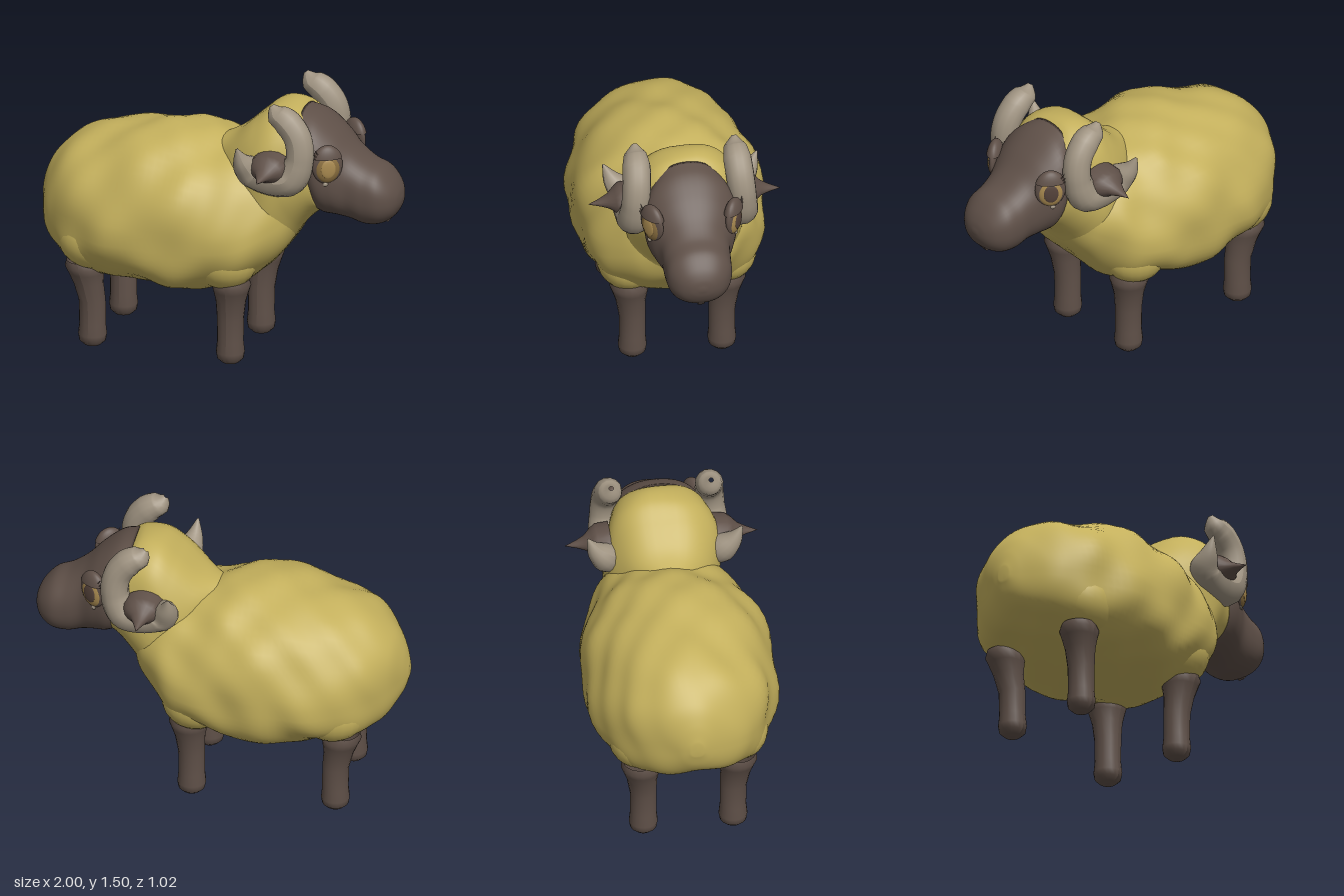
import * as THREE from 'three';

const mat = (name, color, side = THREE.FrontSide) => {
  const m = new THREE.MeshStandardMaterial({ color, side });
  m.name = name;
  return m;
};

// Closed skin through sections [topX, topY, bottomX, bottomY, halfWidth].
// mid = height of the widest point, square / crown = squareness of the lower / upper half.
function loft(sections, { steps = 48, sides = 48, mid = 0.5, square = 2, crown = 2, bump = 0 }) {
  const top = new THREE.CatmullRomCurve3(sections.map(s => new THREE.Vector3(s[0], s[1], s[4])));
  const bottom = new THREE.CatmullRomCurve3(sections.map(s => new THREE.Vector3(s[2], s[3], 0)));
  const pos = [], idx = [];
  for (let i = 0; i <= steps; i++) {
    const t = top.getPoint(i / steps), b = bottom.getPoint(i / steps);
    for (let j = 0; j < sides; j++) {
      const a = (j / sides) * Math.PI * 2, s = Math.sin(a), c = Math.cos(a);
      const e = 2 / (s < 0 ? square : crown);
      const v = mid + (s < 0 ? -mid : 1 - mid) * Math.pow(Math.abs(s), e);
      const x = b.x + (t.x - b.x) * v, y = b.y + (t.y - b.y) * v;
      const z = Math.sign(c) * Math.pow(Math.abs(c), e) * t.z;
      // soft woolly lumps
      const n = bump * (Math.sin(10 * x + 6 * z) * Math.sin(13 * y + 2) +
        0.6 * Math.sin(21 * x - 9 * y) * Math.cos(19 * z + 5 * y));
      pos.push(x, y + n * s, z + n * c);
    }
  }
  const vert = (i, j) => i * sides + (j % sides);
  for (let i = 0; i < steps; i++) for (let j = 0; j < sides; j++) {
    const a = vert(i, j), b = vert(i + 1, j), c = vert(i, j + 1), d = vert(i + 1, j + 1);
    idx.push(a, b, c, b, d, c);
  }
  // end caps
  for (const end of [0, steps]) {
    const s = sections[end ? sections.length - 1 : 0], k = pos.length / 3;
    pos.push((s[0] + s[2]) / 2, (s[1] + s[3]) / 2, 0);
    for (let j = 0; j < sides; j++) {
      const a = vert(end, j), b = vert(end, j + 1);
      if (end) idx.push(k, b, a); else idx.push(k, a, b);
    }
  }
  const g = new THREE.BufferGeometry();
  g.setAttribute('position', new THREE.Float32BufferAttribute(pos, 3));
  g.setIndex(idx);
  g.computeVertexNormals();
  return g;
}

// Tube through points [x, y, z, radius]
function taperedTube(points, segments = 48, sides = 14) {
  const curve = new THREE.CatmullRomCurve3(points.map(p => new THREE.Vector3(p[0], p[1], p[2])));
  const g = new THREE.TubeGeometry(curve, segments, 1, sides);
  const p = g.attributes.position, v = new THREE.Vector3();
  for (let i = 0; i <= segments; i++) {
    const c = curve.getPointAt(i / segments);
    const f = curve.getUtoTmapping(i / segments) * (points.length - 1);
    const k = Math.min(Math.floor(f), points.length - 2);
    const r = THREE.MathUtils.lerp(points[k][3], points[k + 1][3], f - k);
    for (let j = 0; j <= sides; j++) {
      const n = i * (sides + 1) + j;
      v.fromBufferAttribute(p, n).sub(c).multiplyScalar(r).add(c);
      p.setXYZ(n, v.x, v.y, v.z);
    }
  }
  g.computeVertexNormals();
  return g;
}

const profile = points => points.map(p => new THREE.Vector2(...p));

export function createModel() {
  const root = new THREE.Group();
  root.name = 'sheep';
  const wool = mat('wool yellow', 0xc4b05c);
  const skin = mat('dark brown skin', 0x5f5048, THREE.DoubleSide);
  const hornGrey = mat('horn grey', 0xa09482);
  const gold = mat('eye gold', 0xa98a50);
  const amber = mat('eye amber', 0x8c7040);
  const dark = mat('pupil brown', 0x54423a);

  const add = (name, geometry, material, parent = root) => {
    const m = new THREE.Mesh(geometry, material);
    m.name = name;
    parent.add(m);
    return m;
  };
  const addBall = (name, material, parent, [x, y, z], [rx, ry, rz]) => {
    const m = add(name, new THREE.SphereGeometry(1, 24, 16), material, parent);
    m.position.set(x, y, z);
    m.scale.set(rx, ry, rz);
  };

  // Woolly body
  add('body', loft([
    [-0.997, 0.80, -0.997, 0.72, 0.035], [-0.97, 0.895, -0.97, 0.64, 0.11],
    [-0.915, 1.0, -0.915, 0.56, 0.23], [-0.8, 1.1, -0.8, 0.475, 0.37],
    [-0.6, 1.18, -0.6, 0.415, 0.462], [-0.35, 1.235, -0.35, 0.385, 0.505],
    [-0.1, 1.225, -0.1, 0.39, 0.5], [0.05, 1.19, 0.05, 0.42, 0.465],
    [0.2, 1.16, 0.2, 0.455, 0.42], [0.3, 1.13, 0.3, 0.54, 0.36],
    [0.4, 1.06, 0.4, 0.67, 0.27], [0.46, 0.98, 0.46, 0.8, 0.12],
  ], { steps: 76, sides: 64, mid: 0.42, square: 2.7, bump: 0.015 }), wool);

  // Neck rising to the flat crest between the horns
  add('neck', loft([
    [-0.04, 1.17, 0.18, 0.54, 0.14], [0.1, 1.25, 0.28, 0.56, 0.27],
    [0.22, 1.35, 0.39, 0.66, 0.31], [0.32, 1.425, 0.47, 0.77, 0.3],
    [0.43, 1.435, 0.54, 0.835, 0.265], [0.51, 1.385, 0.59, 0.865, 0.235],
  ], { mid: 0.45, square: 2.2, crown: 2.6, bump: 0.007 }), wool);

  // Head with long muzzle
  add('head', loft([
    [0.465, 1.42, 0.56, 0.86, 0.22], [0.55, 1.39, 0.61, 0.85, 0.248],
    [0.65, 1.315, 0.67, 0.845, 0.225], [0.74, 1.225, 0.74, 0.83, 0.185],
    [0.82, 1.165, 0.82, 0.81, 0.178], [0.9, 1.13, 0.9, 0.82, 0.168],
    [0.96, 1.07, 0.96, 0.86, 0.125], [0.99, 1.015, 0.99, 0.91, 0.07],
    [1.0, 0.97, 1.0, 0.95, 0.015],
  ], { mid: 0.52, square: 2.3, crown: 2.25 }), skin);

  // Small mouth tab under the nose
  const mouth = add('mouth', new THREE.BoxGeometry(0.02, 0.07, 0.034), skin);
  mouth.position.set(0.94, 0.855, 0);
  mouth.rotation.z = -0.7;

  const legProfile = profile([[0, 0.005], [0.045, 0.012], [0.07, 0.035], [0.076, 0.07], [0.07, 0.13],
    [0.071, 0.26], [0.08, 0.36], [0.095, 0.42], [0.105, 0.455], [0.09, 0.49]]);
  const earProfile = profile([[0.11, 0.27], [0.11, 0.34], [0.088, 0.37], [0.05, 0.405], [0.026, 0.45], [0, 0.515]]);

  for (const [s, side] of [[1, 'left'], [-1, 'right']]) {
    // Legs, leaning outward towards the hips
    for (const [name, x, slant] of [['FrontLeg', 0.125, 0.06], ['BackLeg', -0.645, -0.18]]) {
      const g = new THREE.LatheGeometry(legProfile, 20);
      const p = g.attributes.position;
      for (let i = 0; i < p.count; i++) {
        const lean = Math.max(0, p.getY(i) - 0.25);
        p.setX(i, p.getX(i) + slant * lean);
        p.setZ(i, p.getZ(i) + s * lean * 0.09);
      }
      g.computeVertexNormals();
      add(side + name, g, skin).position.set(x, 0, s * 0.238);
    }

    // Wool gathered over the shoulder and haunch
    addBall(side + 'ShoulderWool', wool, root, [0.1, 0.6, s * 0.26], [0.18, 0.165, 0.165]);
    addBall(side + 'HaunchWool', wool, root, [-0.63, 0.62, s * 0.27], [0.19, 0.165, 0.155]);

    // Curled horn, thickest where it passes beneath the ear
    add(side + 'Horn', taperedTube([
      [0.365, 1.495, s * 0.265, 0.012], [0.395, 1.45, s * 0.265, 0.06], [0.455, 1.41, s * 0.268, 0.075],
      [0.515, 1.33, s * 0.275, 0.075], [0.527, 1.21, s * 0.285, 0.075], [0.475, 1.105, s * 0.285, 0.092],
      [0.37, 1.095, s * 0.285, 0.095], [0.265, 1.13, s * 0.31, 0.085], [0.235, 1.195, s * 0.365, 0.05],
      [0.222, 1.285, s * 0.41, 0.004],
    ]), hornGrey);

    // Pointed ear, drooping slightly
    const ear = add(side + 'Ear', new THREE.LatheGeometry(earProfile, 18), skin);
    ear.rotation.x = s * (Math.PI / 2 + 0.1);
    ear.scale.z = 0.75;
    ear.position.set(0.37, 1.19, 0);

    // Eye: socket, eyeball, iris, heavy upper lid and lashes
    const eye = new THREE.Group();
    eye.name = side + 'Eye';
    eye.position.set(0.658, 1.18, s * 0.216);
    eye.rotation.y = s > 0 ? 0.57 : Math.PI - 0.57;
    root.add(eye);
    addBall('eyeSocket', skin, eye, [0, 0, 0], [0.083, 0.105, 0.028]);
    addBall('eyeball', s > 0 ? amber : gold, eye, [0, -0.012, 0.004], [0.07, 0.086, 0.031]);
    addBall('iris', s > 0 ? gold : dark, eye, [0, -0.015, 0.028], [0.04, 0.052, 0.009]);
    const lid = add('eyelid', new THREE.SphereGeometry(1, 24, 10, 0, Math.PI * 2, 0, 1.2), skin, eye);
    lid.scale.set(0.086, 0.11, 0.046);
    for (let i = 0; i < 3; i++) {
      const lash = add('eyelash', new THREE.ConeGeometry(0.005, 0.045, 6), skin, eye);
      lash.position.set(-s * (0.085 - i * 0.012), 0.05 + i * 0.014, 0.018);
      lash.rotation.z = s * (1.2 - i * 0.3);
    }
    // Pale fleck under the eye
    addBall('cheekFleck', hornGrey, eye, [-s * 0.012, -0.105, 0.01], [0.014, 0.011, 0.006]);
  }
  return root;
}
